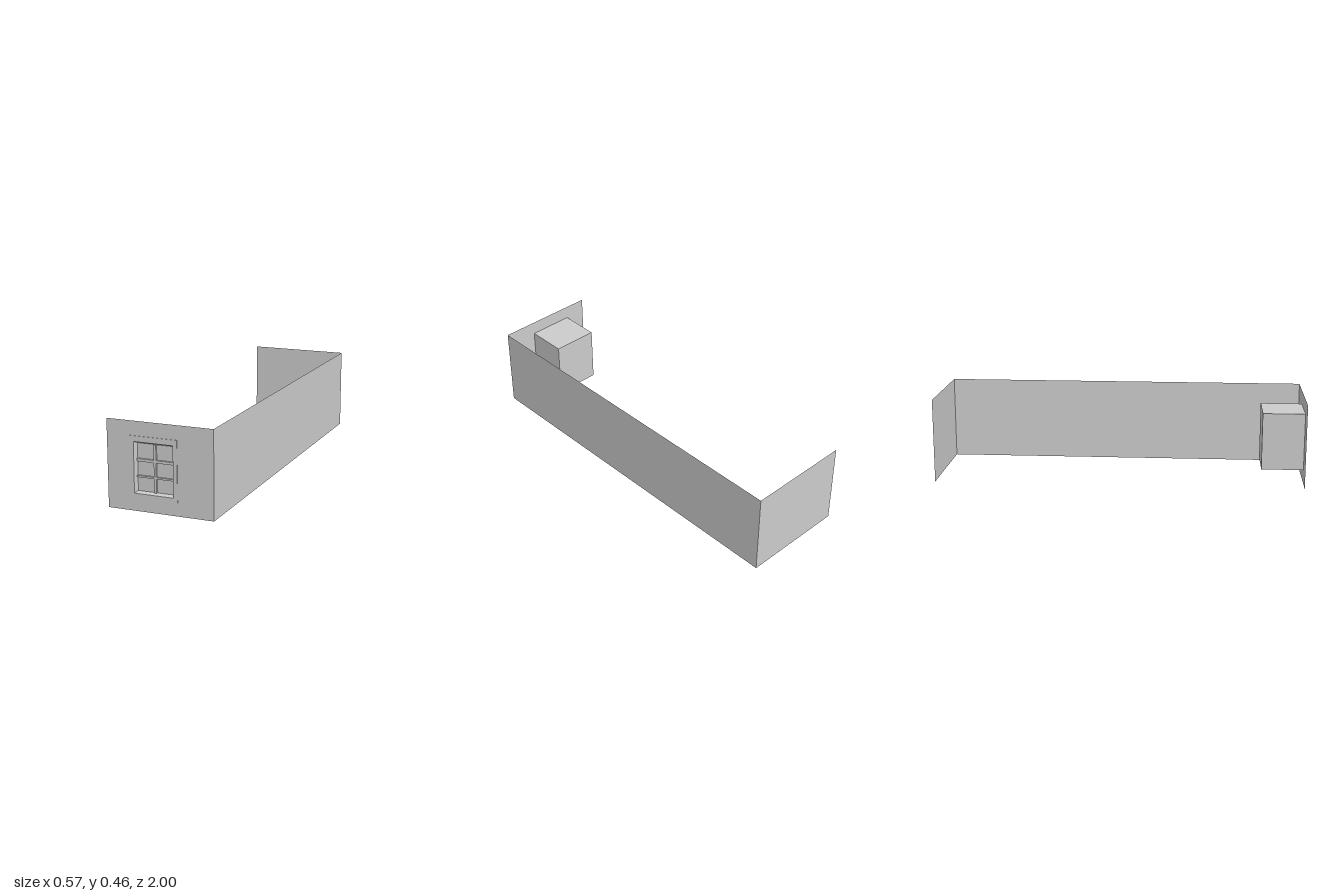
import * as THREE from 'three';

const W = 0.566, H = 0.455, WALL_Z = 0.997;
// Rectangles as [left, bottom, right, top]
const OUTER = [-0.162, 0.07, 0.093, 0.381];
const OPENING = [-0.138, 0.091, 0.071, 0.352];
const INNER = [-0.133, 0.096, 0.064, 0.339];

const solid = new THREE.MeshStandardMaterial({ color: 0xcccccc });
const thin = new THREE.MeshStandardMaterial({ color: 0xcccccc, side: THREE.DoubleSide });

const corners = ([l, b, r, t]) => [[l, b], [r, b], [r, t], [l, t]];

function addMesh(parent, name, geometry, material, x = 0, y = 0, z = 0) {
  const mesh = new THREE.Mesh(geometry, material);
  mesh.name = name;
  mesh.position.set(x, y, z);
  parent.add(mesh);
  return mesh;
}

// Joins rectangular sections [rect, z] into a flat-sided shell
function loftRects(sections) {
  const pos = [];
  for (let s = 0; s < sections.length - 1; s++) {
    const [a, b] = [sections[s], sections[s + 1]].map(([rect, z]) => corners(rect).map(([x, y]) => [x, y, z]));
    for (let i = 0; i < 4; i++) {
      const j = (i + 1) % 4;
      pos.push(...a[i], ...a[j], ...b[j], ...a[i], ...b[j], ...b[i]);
    }
  }
  const geometry = new THREE.BufferGeometry();
  geometry.setAttribute('position', new THREE.Float32BufferAttribute(pos, 3));
  geometry.computeVertexNormals();
  return geometry;
}

export function createModel() {
  const model = new THREE.Group();
  model.name = 'windowWalls';

  // Front wall with a cut-out for the window box
  const wall = new THREE.Shape(corners([-W / 2, 0, W / 2, H]).map(p => new THREE.Vector2(...p)));
  wall.holes.push(new THREE.Path(corners(OUTER).reverse().map(p => new THREE.Vector2(...p))));
  addMesh(model, 'frontWall', new THREE.ShapeGeometry(wall), thin, 0, 0, WALL_Z);

  // Plain back and side walls
  addMesh(model, 'backWall', new THREE.PlaneGeometry(W, H), thin, 0, H / 2, -1);
  const side = addMesh(model, 'sideWall', new THREE.PlaneGeometry(1 + WALL_Z, H), thin, W / 2, H / 2, (WALL_Z - 1) / 2);
  side.rotation.y = Math.PI / 2;

  const win = new THREE.Group();
  win.name = 'window';
  model.add(win);

  // Box behind the wall, its front rim and the tapered reveal in one shell
  const cx = (OUTER[0] + OUTER[2]) / 2, cy = (OUTER[1] + OUTER[3]) / 2;
  addMesh(win, 'windowBox', loftRects([
    [[cx, cy, cx, cy], 0.77], [OUTER, 0.77], [OUTER, 1], [OPENING, 1], [INNER, 0.968],
  ]), solid);

  // Glass and glazing bars
  const [l, b, r, t] = INNER;
  const mx = (l + r) / 2, my = (b + t) / 2;
  addMesh(win, 'glass', new THREE.PlaneGeometry(r - l, t - b), thin, mx, my, 0.968);
  addMesh(win, 'verticalBar', new THREE.BoxGeometry(0.0125, t - b, 0.01), solid, -0.0355, my, 0.973);
  for (const [y, h] of [[0.255, 0.014], [0.172, 0.009]])
    addMesh(win, 'horizontalBar', new THREE.BoxGeometry(r - l, h, 0.01), solid, mx, y, 0.973);

  return model;
}
